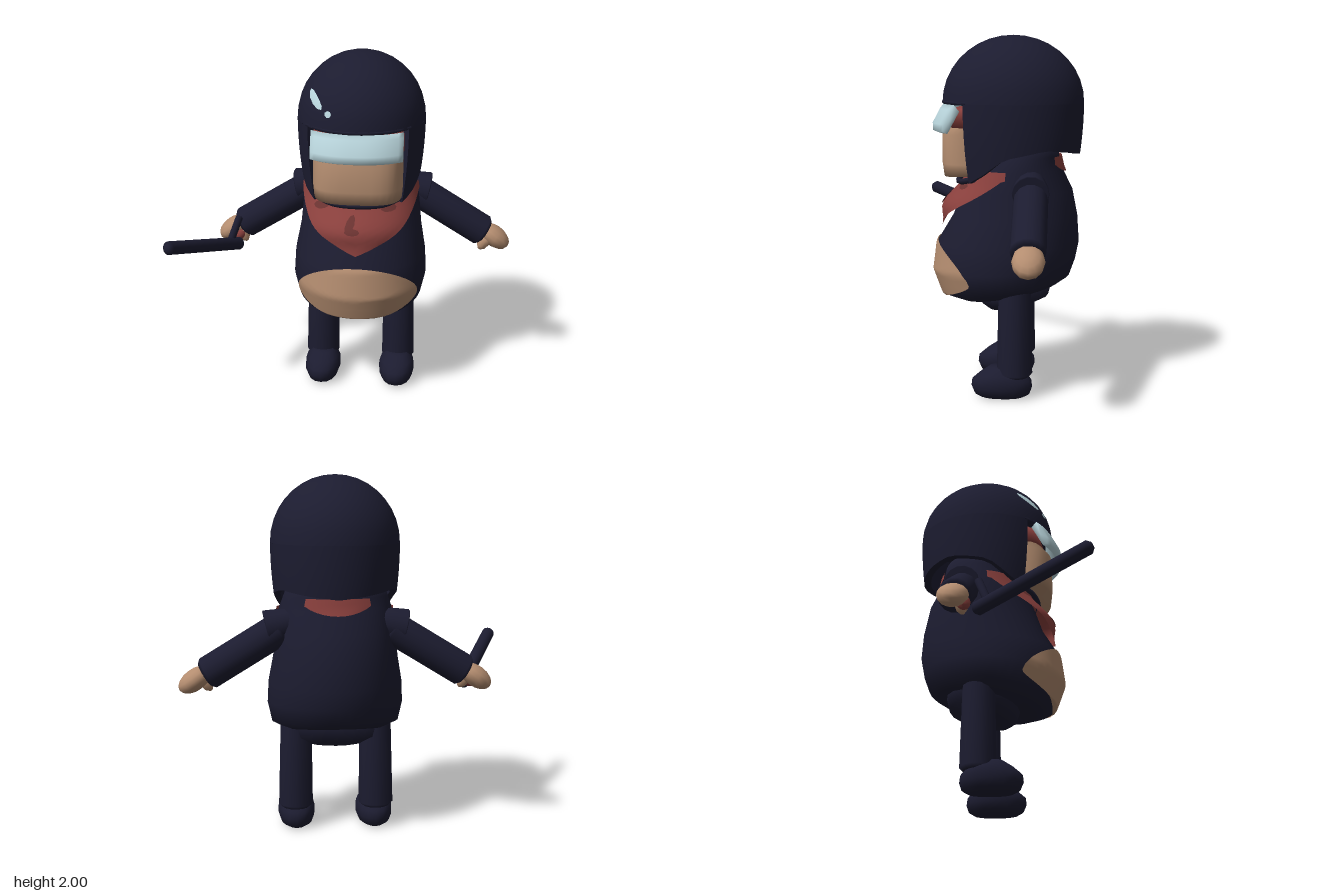
import * as THREE from 'three';
import { mergeVertices } from 'three/addons/utils/BufferGeometryUtils.js';

const mat = (name, color) => new THREE.MeshStandardMaterial({ name, color, side: THREE.DoubleSide });
const V = (x, y, z) => new THREE.Vector3(x, y, z);
const lerp = THREE.MathUtils.lerp;
const PI = Math.PI;

// Smooth grid surface from fn(u, v) -> Vector3, u and v in 0..1
function surface(fn, nu, nv) {
  const pos = [], idx = [];
  for (let j = 0; j <= nv; j++) for (let i = 0; i <= nu; i++) pos.push(...fn(i / nu, j / nv).toArray());
  for (let j = 0; j < nv; j++) for (let i = 0; i < nu; i++) {
    const a = j * (nu + 1) + i, b = a + nu + 1;
    idx.push(a, a + 1, b + 1, a, b + 1, b);
  }
  const g = new THREE.BufferGeometry();
  g.setAttribute('position', new THREE.Float32BufferAttribute(pos, 3));
  g.setIndex(idx);
  const m = mergeVertices(g, 1e-5);
  m.computeVertexNormals();
  return m;
}

// Rings: [y, centre z, half width, half depth, tilt]; angle 0 is the front
function ringPoint(r, a, n = 2, off = 0) {
  const p = (t) => Math.sign(t) * Math.pow(Math.abs(t), 2 / n);
  const x = (r[2] + off) * p(Math.sin(a)), z = (r[3] + off) * p(Math.cos(a));
  return V(x, r[0] + (r[4] || 0) * z, r[1] + z);
}
function loft(rings, n, seg) {
  const flat = (r) => [r[0], r[1], 0, 0, 0];
  const all = [flat(rings[0]), ...rings, flat(rings[rings.length - 1])];
  const rows = all.length - 1;
  return surface((u, v) => ringPoint(all[Math.round(v * rows)], u * 2 * PI, n), seg, rows);
}

// Rod with slightly rounded ends between two points
function rod(a, b, r0, r1 = r0, bevel = 0.02) {
  const d = b.clone().sub(a), L = d.length();
  const g = new THREE.LatheGeometry([[0, 0], [r0 - bevel, 0], [r0, bevel], [r1, L - bevel], [r1 - bevel, L], [0, L]]
    .map((p) => new THREE.Vector2(...p)), 14);
  g.applyQuaternion(new THREE.Quaternion().setFromUnitVectors(V(0, 1, 0), d.normalize()));
  return g.translate(a.x, a.y, a.z);
}

const torsoRings = [
  [0.57, -0.1, 0.27, 0.28, -0.2], [0.61, -0.07, 0.36, 0.36, -0.15], [0.72, -0.06, 0.385, 0.4, -0.07],
  [0.85, -0.08, 0.378, 0.4, 0], [1.0, -0.12, 0.35, 0.35, 0], [1.15, -0.13, 0.335, 0.31, 0],
  [1.27, -0.13, 0.315, 0.25, 0], [1.34, -0.155, 0.29, 0.21, 0], [1.42, -0.15, 0.26, 0.2, 0],
];
function torsoPoint(y, a, off) {
  let i = 0;
  while (i < torsoRings.length - 2 && y > torsoRings[i + 1][0]) i++;
  const p = torsoRings[i], q = torsoRings[i + 1], t = (y - p[0]) / (q[0] - p[0]);
  return ringPoint(p.map((k, j) => lerp(k, q[j], t)), a, 2, off);
}

// Scarf surface stands off the torso and bulges at the front
function scarfPoint(y, a, extra = 0) {
  const c = Math.max(0, Math.cos(a));
  return torsoPoint(y, a, 0.018 + extra + 0.065 * c * c * Math.exp(-(((y - 1.06) / 0.09) ** 2)));
}

// Helmet: ellipsoid dome over a C-shaped lower wall
const RIM = 1.63, OPEN = 0.87;
function domePoint(a, f, k = 1) {
  const c = Math.cos(f) * k;
  return V(0.36 * c * Math.sin(a), RIM + 0.37 * Math.sin(f) * k, -0.105 + 0.395 * c * Math.cos(a));
}
const hem = [[OPEN, 1.2], [1.15, 1.25], [1.5, 1.34], [2.1, 1.385], [PI, 1.345]];
function wallPoint(a, h, k = 1) {
  const d = a > PI ? 2 * PI - a : a;
  let i = 0;
  while (i < hem.length - 2 && d > hem[i + 1][0]) i++;
  const low = lerp(hem[i][1], hem[i + 1][1], (d - hem[i][0]) / (hem[i + 1][0] - hem[i][0]));
  const y = lerp(low, RIM, h), s = (1 - 0.6 * (RIM - y) ** 2) * k;
  return V(0.36 * s * Math.sin(a), y, -0.105 + 0.395 * s * Math.cos(a));
}

export function createModel() {
  const navy = mat('navy cloth', 0x1c1c30), skin = mat('skin', 0xb48d70), red = mat('red scarf', 0x8a403d),
    stain = mat('dark red stain', 0x6b3331), glass = mat('pale glass', 0xb9d5dc);
  const root = new THREE.Group();
  root.name = 'figure';
  const body = new THREE.Group();
  body.name = 'body';
  body.position.x = 0.08;
  root.add(body);
  const add = (name, geo, m, parent = body) => {
    const mesh = new THREE.Mesh(geo, m);
    mesh.name = name;
    parent.add(mesh);
    return mesh;
  };
  // Rounded patch laid over a surface at(angle, height)
  const patch = (name, at, a0, y0, ra, ry, m, skew, n) =>
    add(name, surface((u, v) => {
      const c = (1 - v) * Math.cos(u * 2 * PI), s = (1 - v) * Math.sin(u * 2 * PI);
      return at(a0 + ra * c + skew * s, y0 + ry * s);
    }, n, 10), m);

  // Torso, bare belly (domed above, flatter below) and hips
  add('torso', loft(torsoRings, 2, 40), navy);
  add('belly', surface((u, v) => {
    const c = (1 - v) * Math.cos(u * 2 * PI), s = (1 - v) * Math.sin(u * 2 * PI);
    return torsoPoint(0.67 + s * (s > 0 ? 0.2 : 0.07), Math.asin(0.89 * c), 0.008);
  }, 48, 14), skin);
  add('hips', loft([[0.458, -0.02, 0.09, 0.05], [0.49, -0.07, 0.18, 0.14], [0.54, -0.11, 0.24, 0.2], [0.66, -0.12, 0.26, 0.22]], 2, 18), navy);

  // Scarf, pointed at the front, with its band showing at the nape
  const scarfLow = (a) => 0.935 + 0.29 * Math.pow(Math.min(1, Math.abs(a) / 1.35), 1.1);
  add('scarf', surface((u, v) => {
    const a = (u * 2 - 1) * 1.4;
    return scarfPoint(lerp(scarfLow(a), 1.27, v), a);
  }, 36, 10), red);
  add('scarfNape', surface((u, v) => {
    const a = PI + (u * 2 - 1) * 0.6;
    return torsoPoint(lerp(1.25 + 0.05 * (u * 2 - 1) ** 2, 1.34, v), a, 0.015);
  }, 10, 3), red);
  const onScarf = (a, y) => scarfPoint(y, a, 0.006);
  [[-0.08, 1.11, 0.06, 0.045, 0.03], [-0.05, 1.075, 0.1, 0.018, 0], [-0.6, 1.18, 0.14, 0.022, 0.05], [0.5, 1.18, 0.14, 0.02, 0]]
    .forEach(([a, y, ra, ry, k]) => patch('scarfStain', onScarf, a, y, ra, ry, stain, k, 9));

  // Face, stepped back behind the visor, and brow band
  const faceRing = (y, rz, g = 0) => [y, 0.08, 0.25 + g, rz + g, 0];
  add('face', loft([[1.24, 0.08, 0.245, 0.195, -0.06], faceRing(1.3, 0.205), faceRing(1.46, 0.205),
    faceRing(1.5, 0.165), faceRing(1.59, 0.13)], 3, 32), skin);
  add('browBand', loft([faceRing(1.5, 0.165, 0.004), faceRing(1.6, 0.13, 0.004)], 3, 32), red);

  // Helmet shell, lining, hem, opening edges and chin strap
  const wallAngle = (u) => lerp(OPEN, 2 * PI - OPEN, u);
  const T = 0.89;
  add('helmetDome', surface((u, v) => domePoint(u * 2 * PI, v * PI / 2), 32, 9), navy);
  add('helmetCeiling', surface((u, v) => domePoint(u * 2 * PI, 0, 0.98 * (1 - v)), 32, 2), navy);
  add('helmetWall', surface((u, v) => wallPoint(wallAngle(u), v), 32, 5), navy);
  add('helmetLining', surface((u, v) => wallPoint(wallAngle(1 - u), v, T), 32, 5), navy);
  add('helmetHem', surface((u, v) => wallPoint(wallAngle(u), 0, lerp(T, 1, v)), 32, 1), navy);
  for (const a of [OPEN, 2 * PI - OPEN]) {
    add('helmetOpeningEdge', surface((u, v) => wallPoint(a, v, lerp(T, 1, u)), 1, 5), navy);
  }
  add('helmetBrim', new THREE.TubeGeometry(new THREE.CatmullRomCurve3(
    [-0.92, -0.6, -0.3, 0, 0.3, 0.6, 0.92].map((a) => domePoint(a, 0.01, 0.975))), 20, 0.012, 6), navy);
  add('chinStrap', new THREE.TubeGeometry(new THREE.CatmullRomCurve3(
    [V(-0.25, 1.225, 0.09), V(-0.15, 1.2, 0.17), V(0, 1.195, 0.2), V(0.15, 1.2, 0.17), V(0.25, 1.225, 0.09)]), 16, 0.016, 6), navy);

  // Glints on the helmet
  const onDome = (a, f) => domePoint(a, f, 1.012);
  patch('helmetGlint', onDome, -0.78, 0.42, 0.125, 0.13, glass, -0.17, 10);
  patch('helmetGlint', onDome, -0.45, 0.25, 0.06, 0.05, glass, 0, 7);

  // Tilted, curved visor with a closed section and closed ends
  const visorSection = [[1.625, 0.28], [1.6, 0.3], [1.52, 0.342], [1.48, 0.34], [1.47, 0.315], [1.59, 0.25], [1.625, 0.28]];
  add('visor', surface((u, v) => {
    const t = Math.max(-1, Math.min(1, (u * 2 - 1) * 1.1)), end = u < 0.01 || u > 0.99;
    const [y, z] = end ? [1.545, 0.3] : visorSection[6 - Math.round(v * 6)];
    return V(0.25 * t, y, z - 0.08 * Math.pow(Math.abs(t), 2.4));
  }, 22, 6), glass);

  // Arms, hands, legs and feet, mirrored
  for (const s of [1, -1]) {
    const side = s > 0 ? 'left' : 'right';
    add(side + 'ShoulderFlare', rod(V(s * 0.24, 1.2, -0.215), V(s * 0.385, 1.165, -0.22), 0.08, 0.1, 0.005), navy);
    add(side + 'Sleeve', rod(V(s * 0.3, 1.17, -0.22), V(s * 0.725, 0.91, -0.22), 0.093), navy);
    const hand = add(side + 'Hand', new THREE.SphereGeometry(1, 12, 8), skin);
    hand.scale.set(0.105, 0.06, 0.085);
    hand.rotation.z = -0.62 * s;
    hand.position.set(s * 0.78, 0.885, -0.225);
    add(side + 'Thumb', rod(V(s * 0.74, 0.89, -0.19), V(s * 0.695, 0.815, -0.18), 0.038, 0.028), skin);
    add(side + 'Leg', rod(V(s * 0.23, 0.12, -0.13), V(s * 0.225, 0.62, -0.13), 0.099, 0.09), navy);
    const foot = add(side + 'Foot', loft([
      [0, -0.06, 0.06, 0.12], [0.02, -0.06, 0.09, 0.155], [0.06, -0.058, 0.105, 0.17],
      [0.1, -0.058, 0.105, 0.165], [0.135, -0.06, 0.095, 0.125], [0.172, -0.05, 0.06, 0.06],
    ], 2.2, 16), navy);
    foot.position.x = s * 0.225;
  }
  // Red smear on the palm that holds the baton
  const smear = add('rightPalmSmear', new THREE.SphereGeometry(1, 10, 6), red);
  smear.scale.set(0.05, 0.036, 0.036);
  smear.rotation.z = 0.62;
  smear.position.set(-0.745, 0.855, -0.17);

  // Baton with a short side grip
  const baton = new THREE.Group();
  baton.name = 'baton';
  root.add(baton);
  add('batonShaft', rod(V(-0.925, 1.025, 0.485), V(-0.645, 0.82, -0.12), 0.038), navy, baton);
  add('batonGrip', rod(V(-0.69, 0.86, -0.05), V(-0.64, 1.0, -0.1), 0.022, 0.022, 0.008), navy, baton);
  return root;
}
